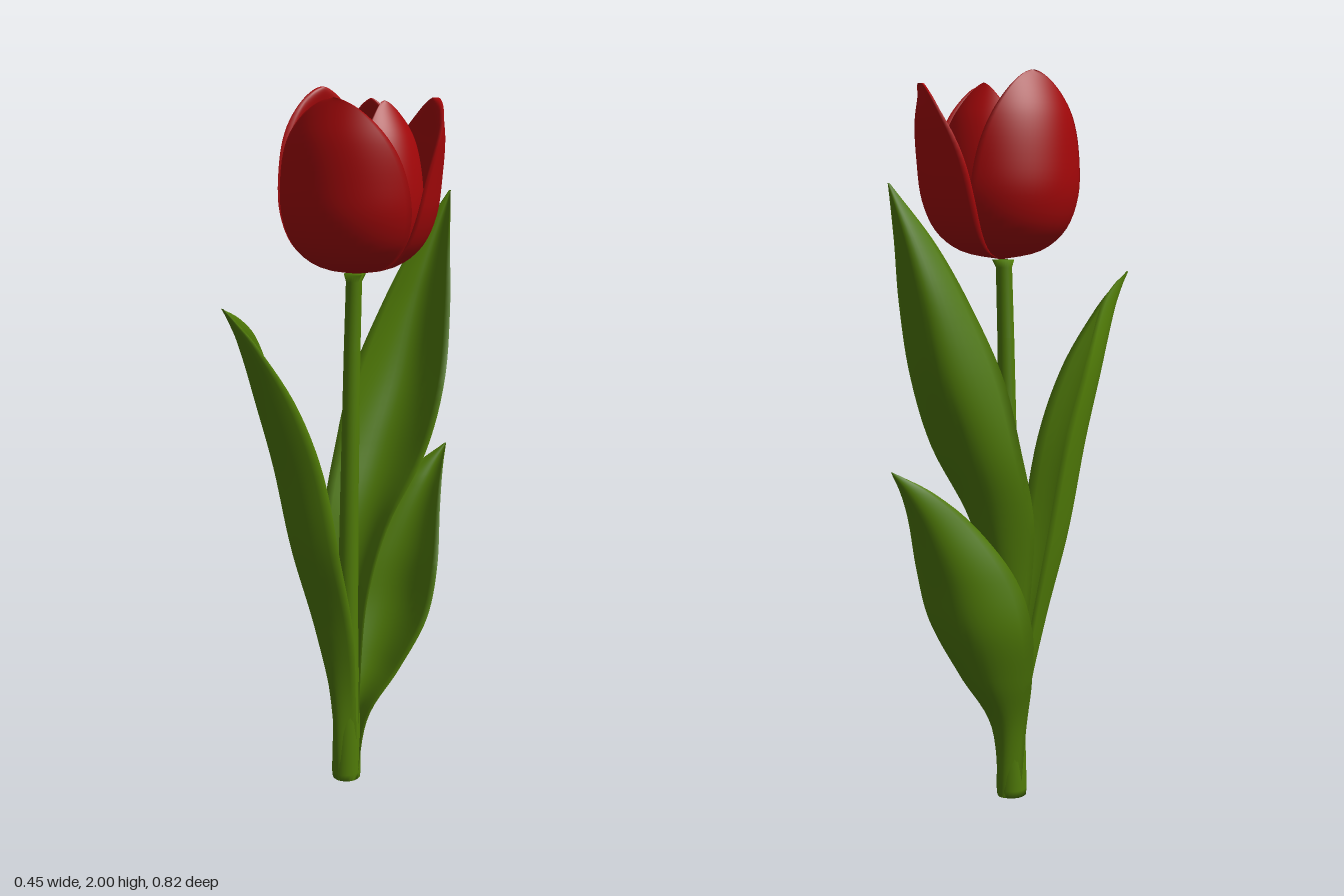
import * as THREE from 'three';

const green = new THREE.MeshStandardMaterial({ color: 0x507b07, side: THREE.DoubleSide });
green.name = 'leaf green';
const red = new THREE.MeshStandardMaterial({ color: 0xa40709, side: THREE.DoubleSide });
red.name = 'petal red';

// Skins a stack of closed rings (counter-clockwise from above, bottom to top)
function loft(rings, material, name, capped = false) {
  const n = rings[0].length, index = [];
  for (let i = 0; i < rings.length - 1; i++) {
    for (let j = 0; j < n; j++) {
      const k = (j + 1) % n;
      const a = i * n + j, b = i * n + k, c = a + n, d = b + n;
      index.push(a, b, d, a, d, c);
    }
  }
  if (capped) {
    const top = (rings.length - 1) * n;
    for (let j = 1; j < n - 1; j++) index.push(0, j + 1, j, top, top + j, top + j + 1);
  }
  const geometry = new THREE.BufferGeometry().setFromPoints(rings.flat());
  geometry.setIndex(index);
  geometry.computeVertexNormals();
  const mesh = new THREE.Mesh(geometry, material);
  mesh.name = name;
  return mesh;
}

// Closed thin ring: outer line one way, then back along the line moved inwards
function shellRing(outer, thickness) {
  const n = outer.length - 1;
  const inner = [];
  for (let j = n - 1; j > 0; j--) {
    const d = outer[j + 1].clone().sub(outer[j - 1]);
    const len = Math.hypot(d.x, d.z) || 1;
    const s = (2 * j) / n - 1;
    const t = thickness * Math.sqrt(1 - s * s);
    inner.push(new THREE.Vector3(outer[j].x + (d.z / len) * t, outer[j].y, outer[j].z - (d.x / len) * t));
  }
  return [...outer, ...inner];
}

// Stem: [y, x, z, radius]
function makeStem() {
  const rows = [
    [0, -0.035, -0.027, 0.041], [0.02, -0.035, -0.027, 0.043], [0.2, -0.035, -0.028, 0.039],
    [0.5, -0.032, -0.03, 0.03], [0.9, -0.027, -0.032, 0.026], [1.3, -0.02, -0.035, 0.023],
    [1.49, -0.016, -0.038, 0.022], [1.511, -0.015, -0.04, 0.03],
  ];
  const rings = rows.map(([y, x, z, r]) => Array.from({ length: 24 }, (_, j) => {
    const a = (j / 24) * Math.PI * 2;
    return new THREE.Vector3(x + r * Math.cos(a), y, z - r * Math.sin(a));
  }));
  return loft(rings, green, 'stem', true);
}

// Leaf rows: [y, right-hand edge x z, keel x z, left-hand edge x z]
function makeLeaf(name, rows, atBack) {
  const rail = (k) => new THREE.CatmullRomCurve3(
    rows.map((r) => new THREE.Vector3(r[k], r[0], r[k + 1])), false, 'catmullrom', 0.5);
  const rails = [rail(1), rail(3), rail(5)];
  const steps = 44, across = 16, rings = [];
  for (let i = 0; i <= steps; i++) {
    const t = i / steps;
    const [l, k, r] = rails.map((c) => c.getPoint(t));
    const control = k.clone().multiplyScalar(2).addScaledVector(l, -0.5).addScaledVector(r, -0.5);
    const section = new THREE.QuadraticBezierCurve3(l, control, r).getPoints(across);
    if (atBack) section.reverse();
    rings.push(shellRing(section, 0.011 * Math.min(1, (1 - t) * 5)));
  }
  return loft(rings, green, name);
}

// Petal: a curved shell round the flower's axis, narrowing to a rounded tip
function makePetal(name, profile, { azimuth, halfWidth, top, lift, bow, flare }, thickness) {
  const curve = new THREE.SplineCurve(profile.map(([r, u]) => new THREE.Vector2(r, u)));
  const bottom = 1.512, steps = 36, across = 24, rings = [];
  for (let i = 0; i <= steps; i++) {
    const p = curve.getPoint(Math.sin((i / steps) * Math.PI / 2));
    const u = Math.min(1, Math.max(0, p.y));
    const w = halfWidth * Math.pow(Math.max(0, 1 - u ** 2.8), 0.58);
    const outer = [];
    for (let j = 0; j <= across; j++) {
      const s = (j / across) * 2 - 1;
      const a = THREE.MathUtils.degToRad(azimuth + s * w);
      // one edge lifts over its neighbour, both edges bow, the tip leans outwards
      const r = p.x * (1 + (lift * s + bow * s * s) * Math.sqrt(u) + flare * u ** 3);
      outer.push(new THREE.Vector3(
        -0.015 * (1 - u) + r * Math.sin(a),
        bottom + u * (top - bottom),
        -0.047 + r * Math.cos(a)));
    }
    rings.push(shellRing(outer, Math.min(thickness, p.x * 0.3) * Math.min(1, Math.sqrt((1 - u) * 3) + 0.1)));
  }
  return loft(rings, red, name);
}

export function createModel() {
  const model = new THREE.Group();
  model.name = 'flower';
  model.add(makeStem());

  model.add(makeLeaf('frontLeaf', [
    [0, -0.07, -0.05, -0.035, 0.014, 0.005, -0.03],
    [0.25, -0.075, -0.04, -0.04, 0.026, 0.01, -0.02],
    [0.5, -0.115, -0.03, -0.055, 0.08, 0.045, 0.03],
    [0.75, -0.152, -0.005, -0.07, 0.155, 0.07, 0.11],
    [1.0, -0.173, 0.036, -0.075, 0.215, 0.068, 0.17],
    [1.2, -0.145, 0.14, -0.07, 0.285, 0.045, 0.245],
    [1.36, -0.09, 0.255, -0.06, 0.35, 0.003, 0.335],
    [1.43, -0.066, 0.335, -0.056, 0.386, -0.028, 0.382],
    [1.47, -0.058, 0.408, -0.055, 0.412, -0.05, 0.41],
  ], false));

  model.add(makeLeaf('tallBackLeaf', [
    [0, -0.07, -0.03, -0.04, -0.069, 0, -0.035],
    [0.4, -0.08, -0.02, -0.045, -0.072, 0.01, -0.045],
    [0.6, -0.098, -0.012, -0.045, -0.08, 0.03, -0.055],
    [0.8, -0.118, -0.02, -0.042, -0.125, 0.065, -0.1],
    [1.0, -0.118, -0.068, -0.045, -0.21, 0.122, -0.185],
    [1.2, -0.098, -0.115, -0.045, -0.29, 0.138, -0.245],
    [1.4, -0.06, -0.2, -0.042, -0.338, 0.1, -0.31],
    [1.56, -0.025, -0.288, -0.022, -0.374, 0.056, -0.358],
    [1.71, 0.008, -0.408, 0.01, -0.412, 0.012, -0.41],
  ], true));

  model.add(makeLeaf('lowBackLeaf', [
    [0, -0.075, -0.03, -0.035, -0.071, 0.005, -0.03],
    [0.2, -0.088, -0.02, -0.045, -0.082, 0.03, -0.05],
    [0.35, -0.122, -0.03, -0.04, -0.155, 0.088, -0.12],
    [0.5, -0.145, -0.05, -0.04, -0.22, 0.135, -0.185],
    [0.65, -0.122, -0.09, -0.035, -0.262, 0.137, -0.228],
    [0.8, -0.072, -0.19, -0.022, -0.318, 0.092, -0.29],
    [0.9, -0.033, -0.3, -0.006, -0.37, 0.05, -0.35],
    [0.965, 0.008, -0.408, 0.01, -0.412, 0.012, -0.41],
  ], true));

  // Petal profiles: [radius, height fraction]
  const outerProfile = [[0.002, 0], [0.105, 0.045], [0.174, 0.16], [0.208, 0.34], [0.212, 0.55], [0.2, 0.78], [0.165, 1]];
  const innerProfile = [[0.002, 0.02], [0.1, 0.07], [0.15, 0.18], [0.172, 0.36], [0.166, 0.58], [0.14, 0.8], [0.09, 1]];
  const blossom = new THREE.Group();
  blossom.name = 'blossom';
  [
    { azimuth: 19, halfWidth: 67, top: 1.985, lift: 0.02, bow: -0.005, flare: 0.06 },
    { azimuth: 148, halfWidth: 64, top: 1.975, lift: -0.02, bow: 0.03, flare: 0.24 },
    { azimuth: -98, halfWidth: 57, top: 2.0, lift: 0.01, bow: 0.01, flare: 0 },
  ].forEach((petal, i) => blossom.add(makePetal(`outerPetal${i + 1}`, outerProfile, petal, 0.034)));
  [86, 204, -35].forEach((azimuth, i) => {
    const petal = { azimuth, halfWidth: 63, top: 1.972, lift: 0.03, bow: -0.015, flare: 0 };
    blossom.add(makePetal(`innerPetal${i + 1}`, innerProfile, petal, 0.03));
  });
  model.add(blossom);
  return model;
}
